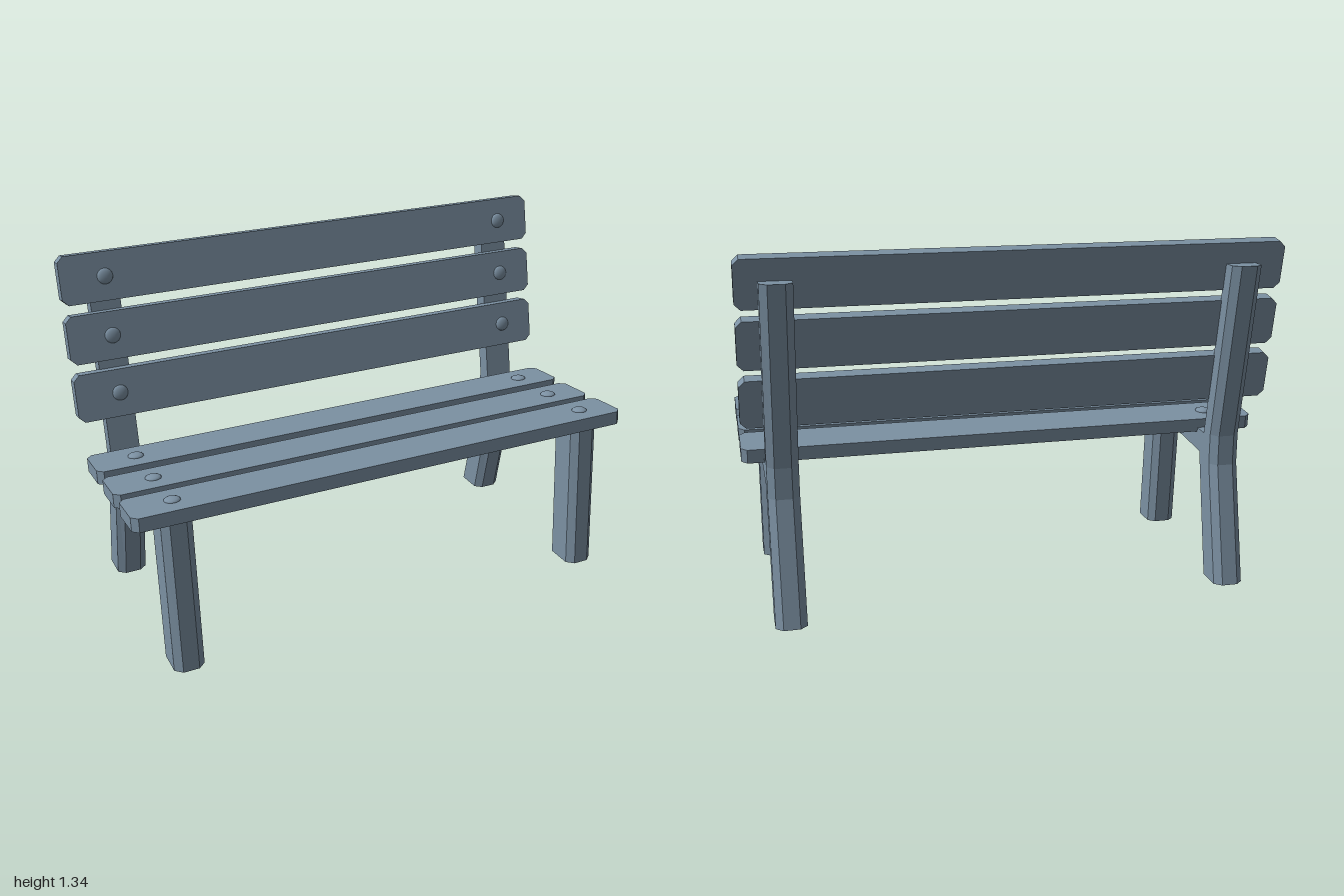
import * as THREE from 'three';

const material = new THREE.MeshStandardMaterial({ color: 0x7c91a3, flatShading: true });
const smoothMaterial = new THREE.MeshStandardMaterial({ color: 0x7c91a3 });
const frameX = [-0.832, 0.861];

// Side outline of a frame as [z, y]: the rim, and the side face set in where edges are chamfered
const rim = [
  [0.452, 0], [0.406, 0.603], [-0.239, 0.571], [-0.364, 1.255], [-0.449, 1.255], [-0.324, 0.578],
  [-0.324, 0.461], [-0.424, 0], [-0.278, 0], [-0.183, 0.461], [0.268, 0.504], [0.307, 0],
];
const side = [
  [0.427, 0], [0.383, 0.602], [-0.239, 0.571], [-0.364, 1.255], [-0.424, 1.255], [-0.3, 0.58],
  [-0.3, 0.463], [-0.4, 0], [-0.301, 0], [-0.204, 0.486], [0.289, 0.528], [0.329, 0],
];

// Frame: four outline loops across x, joined by strips and closed by side faces
function frameGeometry() {
  const half = 0.0575, bevel = 0.027, n = rim.length;
  const loops = [[-half, side], [-half + bevel, rim], [half - bevel, rim], [half, side]];
  const positions = loops.flatMap(([x, outline]) => outline.flatMap(([z, y]) => [x, y, z]));
  const index = [];
  for (let k = 0; k < 3; k++) {
    for (let i = 0; i < n; i++) {
      const j = (i + 1) % n;
      const a = k * n + i, b = k * n + j, c = a + n, d = b + n;
      index.push(a, c, b, b, c, d);
    }
  }
  const contour = side.map(([z, y]) => new THREE.Vector2(z, y));
  for (const tri of THREE.ShapeUtils.triangulateShape(contour, [])) {
    // Orient each triangle so the side faces point outwards
    const ccw = THREE.ShapeUtils.area(tri.map((i) => contour[i])) > 0;
    const [a, b, c] = ccw ? tri : [tri[0], tri[2], tri[1]];
    index.push(a, b, c, 3 * n + a, 3 * n + c, 3 * n + b);
  }
  const geometry = new THREE.BufferGeometry();
  geometry.setAttribute('position', new THREE.Float32BufferAttribute(positions, 3));
  geometry.setIndex(index);
  const flat = geometry.toNonIndexed();
  flat.computeVertexNormals();
  return flat;
}

// Plank with clipped corners, lying in XY with its bolted face towards +z
const thickness = 0.052;
function plankGeometry() {
  const w = 1, h = 0.091, c = 0.022;
  const shape = new THREE.Shape([
    [-w + c, -h], [w - c, -h], [w, -h + c], [w, h - c],
    [w - c, h], [-w + c, h], [-w, h - c], [-w, -h + c],
  ].map(([x, y]) => new THREE.Vector2(x, y)));
  return new THREE.ExtrudeGeometry(shape, { depth: thickness, bevelEnabled: false })
    .translate(0, 0, -thickness / 2);
}

export function createModel() {
  const model = new THREE.Group();
  model.name = 'bench';

  const add = (parent, geometry, name, mat = material) => {
    const mesh = new THREE.Mesh(geometry, mat);
    mesh.name = name;
    parent.add(mesh);
    return mesh;
  };

  // Two side frames: legs, seat rail and back post in one piece
  const frame = frameGeometry();
  frameX.forEach((x, i) => {
    add(model, frame, i ? 'leftFrame' : 'rightFrame').position.x = x;
  });

  // Planks, each with a low domed bolt head over either frame
  const plank = plankGeometry();
  const bolt = new THREE.SphereGeometry(0.03, 16, 5, 0, Math.PI * 2, 0, Math.PI / 2)
    .scale(1, 0.4, 1).rotateX(Math.PI / 2);
  const addSlat = (name, y, z, tilt) => {
    const slat = new THREE.Group();
    slat.name = name;
    add(slat, plank, 'plank');
    for (const x of frameX) add(slat, bolt, 'bolt', smoothMaterial).position.set(x, 0, thickness / 2);
    slat.position.set(0, y, z);
    slat.rotation.x = THREE.MathUtils.degToRad(tilt);
    model.add(slat);
  };

  [[0.625, 0.354], [0.606, 0.135], [0.592, -0.086]].forEach(([y, z]) => addSlat('seatSlat', y, z, -95));
  [[0.812, -0.263], [1.03, -0.303], [1.249, -0.344]].forEach(([y, z]) => addSlat('backSlat', y, z, -11));

  return model;
}
